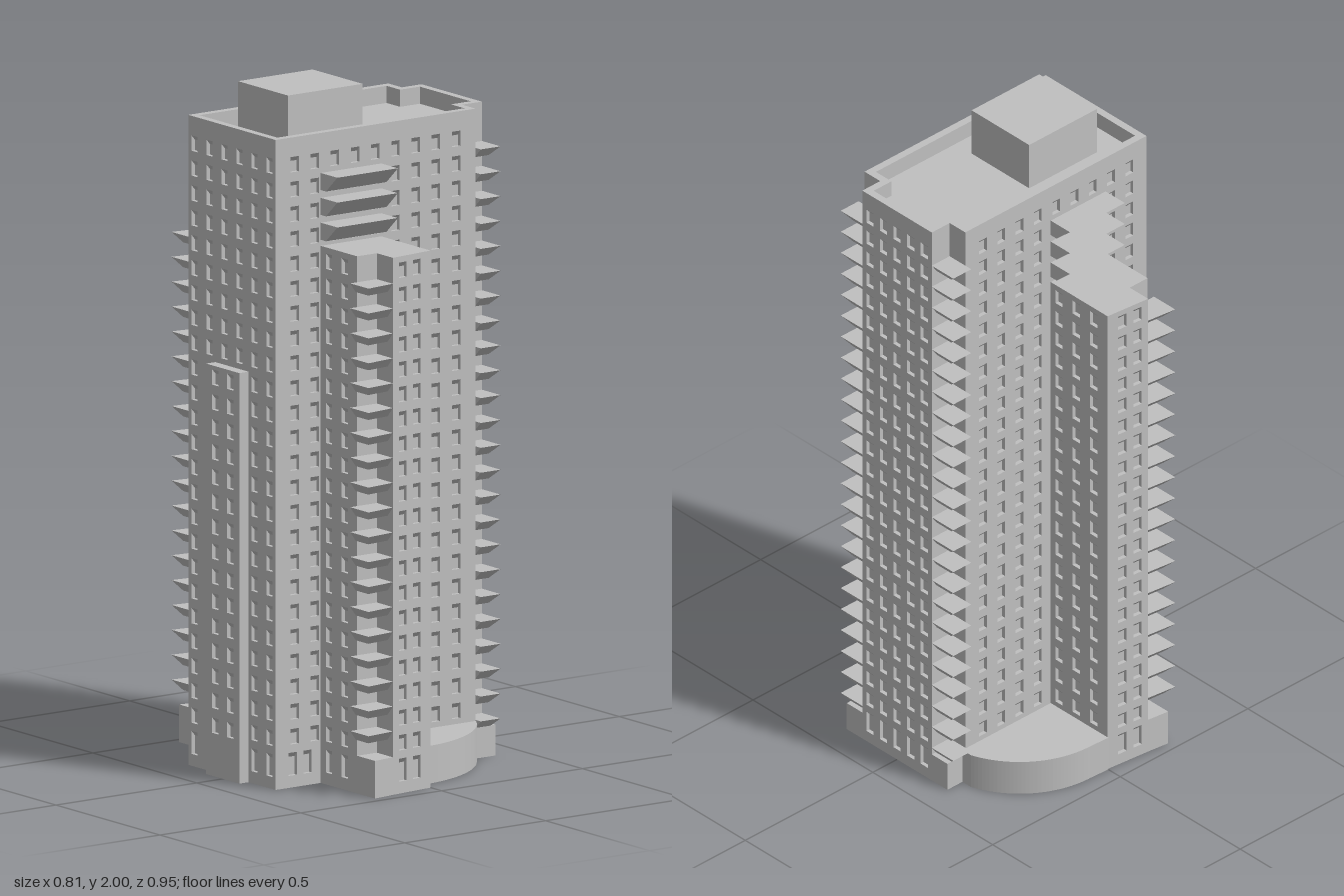
import * as THREE from 'three';

const FLOOR = 0.0727, SPLIT = 0.115, ROOF = 1.85, TOP = 1.9, WING = 1.57;
const range = (a, b) => Array.from({ length: b - a + 1 }, (_, i) => a + i);
// Window rows, counted from the top floor down, as [bottom, top]
const rowsFrom = (k) => range(k, 23).map((i) => [1.798 - i * FLOOR, 1.843 - i * FLOOR]).reverse();
const BASE_ROW = [[0.035, 0.102]];

// Collects quads and triangles, then turns them into one flat-shaded geometry
class Faces {
  constructor() { this.p = []; }
  tri(a, b, c) { this.p.push(...a, ...b, ...c); }
  quad(a, b, c, d) { this.tri(a, b, c); this.tri(a, c, d); }
  mesh(name, material) {
    const g = new THREE.BufferGeometry();
    g.setAttribute('position', new THREE.Float32BufferAttribute(this.p, 3));
    g.computeVertexNormals();
    const m = new THREE.Mesh(g, material);
    m.name = name;
    return m;
  }
}

// Flat polygon of [x, z] points facing up or down
function cap(f, pts, y, up) {
  const v = pts.map(([x, z]) => new THREE.Vector2(x, z));
  for (const [i, j, k] of THREE.ShapeUtils.triangulateShape(v, [])) {
    const [a, b, c] = [pts[i], pts[j], pts[k]];
    const down = (b[0] - a[0]) * (c[1] - a[1]) - (b[1] - a[1]) * (c[0] - a[0]) > 0;
    const t = [a, b, c].map(([x, z]) => [x, y, z]);
    if (down === up) t.reverse();
    f.tri(...t);
  }
}

// Wall from a to b; every column crosses every row in a recessed window with a sloping head
function wall(f, a, b, y0, y1, cols = [], rows = [], w = 0.03) {
  const dx = b[0] - a[0], dz = b[1] - a[1], len = Math.hypot(dx, dz);
  const axis = Math.abs(dx) > Math.abs(dz) ? 0 : 1;
  const at = (u, y, d = 0) => [a[0] + (dx * u + dz * d) / len, y, a[1] + (dz * u - dx * d) / len];
  const us = cols.map((c) => Math.abs((c - a[axis]) / (b[axis] - a[axis])) * len).sort((p, q) => p - q);
  const U = [0, ...us.flatMap((u) => [u - w / 2, u + w / 2]), len];
  const V = [y0, ...rows.flat(), y1];
  const D = 0.012, HEAD = 0.014;
  for (let i = 0; i < U.length - 1; i++) for (let j = 0; j < V.length - 1; j++) {
    const [l, r, s, t] = [U[i], U[i + 1], V[j], V[j + 1]];
    if (i % 2 && j % 2) {
      const h = t - HEAD;
      f.quad(at(l, s, D), at(r, s, D), at(r, h, D), at(l, h, D));
      f.quad(at(l, h, D), at(r, h, D), at(r, t), at(l, t));
      f.quad(at(l, s), at(r, s), at(r, s, D), at(l, s, D));
      f.quad(at(l, s), at(l, s, D), at(l, h, D), at(l, t));
      f.quad(at(r, s, D), at(r, s), at(r, t), at(r, h, D));
    } else f.quad(at(l, s), at(r, s), at(r, t), at(l, t));
  }
}

// Solid between two outlines with the same number of points
function loft(f, low, high, y0, y1) {
  low.forEach((a, i) => {
    const k = (i + 1) % low.length, b = low[k], c = high[k], d = high[i];
    f.quad([a[0], y0, a[1]], [b[0], y0, b[1]], [c[0], y1, c[1]], [d[0], y1, d[1]]);
  });
  cap(f, low, y0, false);
  cap(f, high, y1, true);
}

const rect = (x0, x1, z0, z1) => [[x0, z0], [x0, z1], [x1, z1], [x1, z0]];

export function createModel() {
  const group = new THREE.Group();
  const concrete = new THREE.MeshStandardMaterial({ color: 0xc0c0c0 });
  concrete.name = 'concrete grey';
  const part = (name, build) => {
    const f = new Faces();
    build(f);
    group.add(f.mesh(name, concrete));
  };

  // Main tower with notched corners and a parapet
  const ring = (x0, x1, x2, z1, z2) => [[x0, z2], [x1, z2], [x1, z1], [x2, z1],
    [x2, -z1], [x1, -z1], [x1, -z2], [x0, -z2]];
  const outer = ring(-0.375, 0.335, 0.405, 0.145, 0.21);
  const inner = ring(-0.352, 0.312, 0.382, 0.122, 0.187);
  const long = range(0, 8).map((i) => -0.308 + i * 0.0717);
  const east = [-0.113, -0.057, 0, 0.057, 0.113];
  const west = [-0.18, -0.108, -0.036, 0.036, 0.108, 0.18];
  const cols = [long, [], [], east, [], [], long, west];
  const baseCols = [[-0.315, -0.262], [], [], east, [], [], [-0.315, -0.262], west];
  part('tower', (f) => {
    outer.forEach((a, i) => {
      const k = (i + 1) % outer.length, b = outer[k], c = inner[k], d = inner[i];
      wall(f, a, b, 0, SPLIT, baseCols[i], BASE_ROW);
      wall(f, a, b, SPLIT, TOP, cols[i], rowsFrom(0));
      wall(f, c, d, ROOF, TOP);
      f.quad([a[0], TOP, a[1]], [b[0], TOP, b[1]], [c[0], TOP, c[1]], [d[0], TOP, d[1]]);
    });
    cap(f, inner, ROOF, true);
    cap(f, outer, 0, false);
  });

  part('penthouse', (f) => {
    const r = rect(-0.265, 0, -0.12, 0.12);
    loft(f, r, r, ROOF, 2);
  });

  // Shallow stair bay on the end wall
  part('endBay', (f) => {
    const r = rect(-0.408, -0.375, -0.08, 0.08);
    r.forEach((a, i) => {
      const face = i === 0;
      wall(f, a, r[(i + 1) % 4], 0, 1.2, face ? [-0.036, 0.036] : [], face ? rowsFrom(9) : []);
    });
    cap(f, r, 1.2, true);
    cap(f, r, 0, false);
  });

  for (const s of [1, -1]) {
    const side = s > 0 ? 'front' : 'back';
    // Mirror an outline to the back while keeping its faces outward
    const m = (pts) => (s > 0 ? pts : pts.map(([x, z]) => [x, -z]).reverse());

    // Lower wing with a notched corner
    part(side + 'Wing', (f) => {
      const pts = [[-0.215, 0.2], [-0.215, 0.385], [-0.145, 0.385], [-0.145, 0.462], [0, 0.447], [0, 0.2]];
      const wcols = [[0.25, 0.325], [], [], [-0.107, -0.053], [0.245, 0.316, 0.389]];
      wcols.forEach((c, i) => {
        const [a, b] = m([pts[i], pts[i + 1]]);
        const cs = i === 3 ? c : c.map((z) => z * s);
        wall(f, a, b, 0, SPLIT, i === 4 ? [] : cs, BASE_ROW);
        wall(f, a, b, SPLIT, WING, cs, rowsFrom(4));
      });
      cap(f, m(pts), WING, true);
      cap(f, m(pts), 0, false);
    });

    // Flared balconies in the tower corner, standing on a solid base
    part(side + 'TowerBalconies', (f) => {
      const low = m(rect(0.335, 0.385, 0.145, 0.205));
      const high = m(rect(0.335, 0.405, 0.145, 0.235));
      const base = m(rect(0.335, 0.405, 0.145, 0.21));
      for (const k of range(0, 23)) loft(f, low, high, 1.757 - k * FLOOR, 1.785 - k * FLOOR);
      loft(f, base, base, 0, 0.09);
    });

    // Flared balconies in the wing corner
    part(side + 'WingBalconies', (f) => {
      const low = m([[-0.22, 0.385], [-0.22, 0.445], [-0.145, 0.437], [-0.145, 0.385]]);
      const high = m([[-0.24, 0.385], [-0.24, 0.474], [-0.145, 0.462], [-0.145, 0.385]]);
      const base = m([[-0.215, 0.385], [-0.215, 0.471], [-0.145, 0.462], [-0.145, 0.385]]);
      for (const k of range(4, 22)) loft(f, low, high, 1.757 - k * FLOOR, 1.785 - k * FLOOR);
      loft(f, base, base, 0, 0.11);
    });

    // Three wide flared balconies above the wing
    part(side + 'UpperBalconies', (f) => {
      const low = m(rect(-0.215, 0, 0.2, 0.235)), high = m(rect(-0.215, 0, 0.2, 0.29));
      for (const k of range(0, 2)) loft(f, low, high, 1.733 - k * FLOOR, 1.783 - k * FLOOR);
    });

    // Curved podium, larger at the back
    part(side + 'Podium', (f) => {
      const [cx, cz, R, endX] = s > 0 ? [0, 0.013, 0.39, 0.336] : [0.065, 0.149, 0.297, 0.346];
      const end = Math.asin((endX - cx) / R);
      const arc = range(0, 32).map((i) => {
        const t = (i / 32) * end;
        return [cx + R * Math.sin(t), cz + R * Math.cos(t)];
      });
      const start = s > 0 ? [[0, 0.2]] : [[0, 0.2], [0, 0.45]];
      const pts = m([...start, ...arc, [endX, 0.2]]);
      loft(f, pts, pts, 0, 0.11);
    });
  }
  return group;
}
